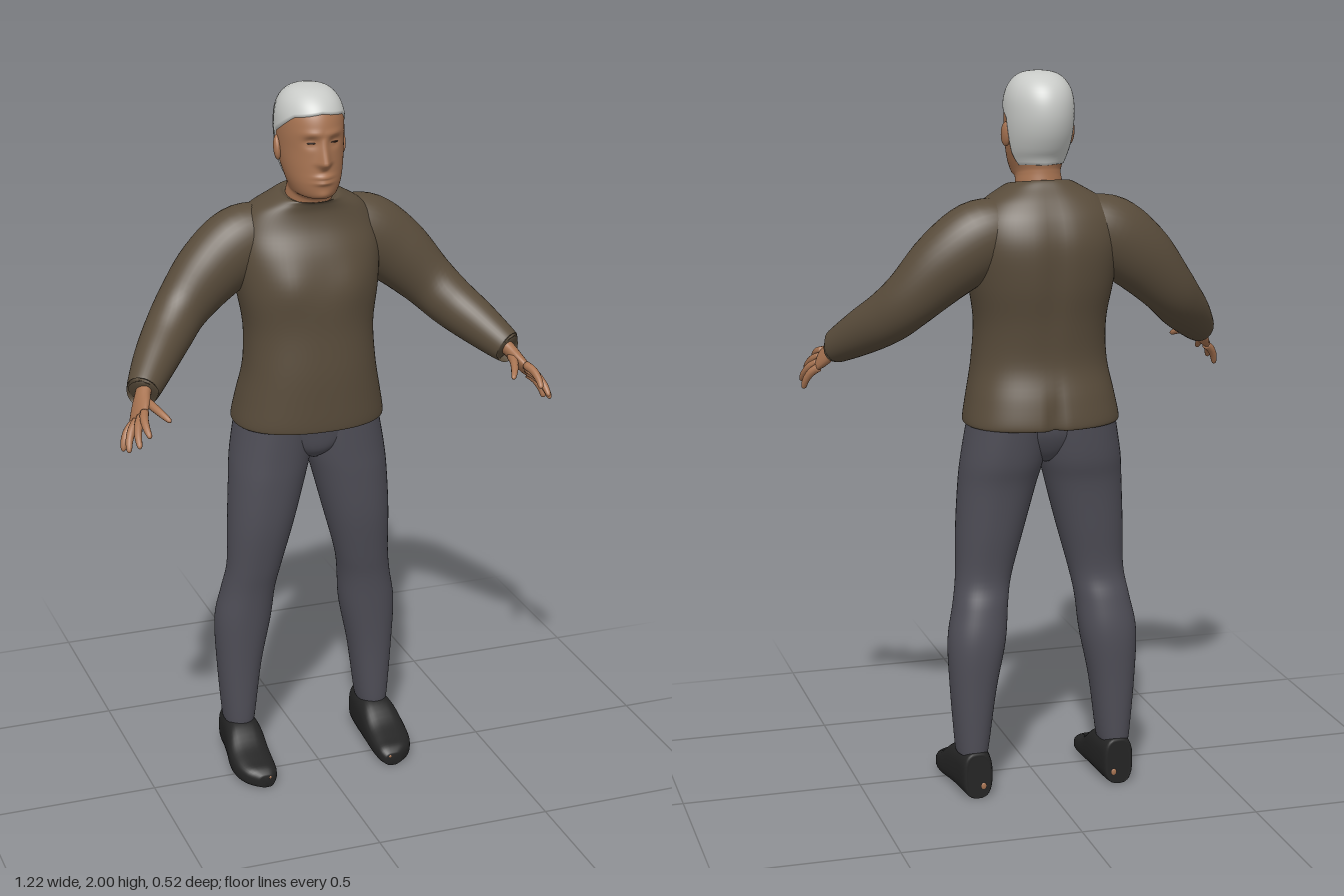
import * as THREE from 'three';

const mat = (name, color, side = THREE.FrontSide) => {
  const m = new THREE.MeshStandardMaterial({ color, side });
  m.name = name;
  return m;
};

// Skin a list of point rings (counter-clockwise about the direction of travel); side -1 mirrors in x.
function loft(rings, side = 1) {
  const n = rings[0].length, pos = [], idx = [];
  const rows = rings.map(r => side > 0 ? r : r.map(p => new THREE.Vector3(-p.x, p.y, p.z)).reverse());
  rows.forEach(r => r.forEach(p => pos.push(p.x, p.y, p.z)));
  for (let i = 0; i < rows.length - 1; i++) for (let j = 0; j < n; j++) {
    const k = (j + 1) % n, a = i * n + j, b = i * n + k, c = a + n, d = b + n;
    idx.push(a, b, d, a, d, c);
  }
  [0, rows.length - 1].forEach((row, end) => {
    const c = rows[row].reduce((s, p) => s.add(p), new THREE.Vector3()).divideScalar(n);
    const ci = pos.length / 3;
    pos.push(c.x, c.y, c.z);
    for (let j = 0; j < n; j++) {
      const a = row * n + j, b = row * n + (j + 1) % n;
      end ? idx.push(a, b, ci) : idx.push(b, a, ci);
    }
  });
  const g = new THREE.BufferGeometry();
  g.setAttribute('position', new THREE.Float32BufferAttribute(pos, 3));
  g.setIndex(idx);
  g.computeVertexNormals();
  return g;
}

// Catmull-Rom sample of a table of numbers at row position s.
function sample(table, s) {
  const last = table.length - 1, i = Math.min(Math.floor(s), last - 1), t = s - i;
  const row = k => table[Math.max(0, Math.min(last, k))];
  return table[0].map((_, c) => {
    const a = row(i - 1)[c], b = row(i)[c], d = row(i + 1)[c], e = row(i + 2)[c];
    return b + 0.5 * t * (d - a + t * (2 * a - 5 * b + 4 * d - e + t * (3 * (b - d) + e - a)));
  });
}
const signPow = (v, e) => Math.sign(v) * Math.abs(v) ** e;

// Point on an upright body; rows are [yFront, yBack, xCentre, halfWidth, zFront, zBack].
function bodyPoint(table, s, angle, power) {
  const [yf, yb, xc, hw, zf, zb] = sample(table, s);
  const k = (1 - signPow(Math.sin(angle), 2 / power)) / 2;
  return new THREE.Vector3(xc + hw * signPow(Math.cos(angle), 2 / power), yb + (yf - yb) * k, zb + (zf - zb) * k);
}
function body(table, { n = 48, steps = 5, power = 2, side = 1, deform = p => p } = {}) {
  const rings = [], total = (table.length - 1) * steps;
  for (let i = 0; i <= total; i++) rings.push(Array.from({ length: n }, (_, j) =>
    deform(bodyPoint(table, i / steps, j / n * Math.PI * 2, power))));
  return loft(rings, side);
}

// Limb along a path; rows are [x, y, z, radius along ref, radius across].
function limb(table, ref, side, n = 20, steps = 5) {
  const rings = [], total = (table.length - 1) * steps;
  const at = s => new THREE.Vector3(...sample(table, s).slice(0, 3));
  for (let i = 0; i <= total; i++) {
    const s = i / steps, [x, y, z, ru, rv] = sample(table, s);
    const t = at(Math.min(s + 0.1, table.length - 1)).sub(at(Math.max(s - 0.1, 0))).normalize();
    const u = ref.clone().addScaledVector(t, -ref.dot(t)).normalize();
    const v = t.clone().cross(u);
    rings.push(Array.from({ length: n }, (_, j) => {
      const a = j / n * Math.PI * 2;
      return new THREE.Vector3(x, y, z).addScaledVector(u, ru * Math.cos(a)).addScaledVector(v, rv * Math.sin(a));
    }));
  }
  return loft(rings, side);
}

const bell = (v, w) => Math.exp(-((v / w) ** 2));
const HEAD = [
  [1.65, 1.65, 0, 0.068, -0.015, -0.16], [1.69, 1.71, 0, 0.063, -0.01, -0.15],
  [1.705, 1.735, 0, 0.061, 0.005, -0.147], [1.712, 1.75, 0, 0.065, 0.036, -0.148],
  [1.745, 1.775, 0, 0.075, 0.047, -0.156], [1.79, 1.8, 0, 0.083, 0.046, -0.172],
  [1.84, 1.84, 0, 0.088, 0.044, -0.19], [1.885, 1.885, 0, 0.09, 0.046, -0.199],
  [1.93, 1.93, 0, 0.087, 0.036, -0.194], [1.965, 1.965, 0, 0.073, 0.012, -0.173],
  [1.988, 1.988, 0, 0.046, -0.025, -0.135], [1.996, 1.996, 0, 0.001, -0.079, -0.081]];

// Nose, eye sockets, brow, lips and chin pushed into the front of the head.
function face(p) {
  if (p.z < -0.01 || p.y < 1.7) return p;
  const x = Math.abs(p.x), y = p.y;
  const nose = y > 1.808 ? Math.max(0, 1 - (y - 1.808) / 0.07) : Math.max(0, 1 - (1.808 - y) / 0.02);
  p.z += 0.026 * nose * bell(x, 0.009 + 0.008 * nose)
    - 0.011 * bell(x - 0.033, 0.018) * bell(y - 1.865, 0.014)
    + 0.005 * bell(x - 0.033, 0.011) * bell(y - 1.862, 0.006)
    + 0.004 * bell(x - 0.03, 0.026) * bell(y - 1.888, 0.009)
    + 0.008 * bell(x, 0.024) * (bell(y - 1.771, 0.006) + bell(y - 1.756, 0.006))
    + 0.005 * bell(x, 0.02) * bell(y - 1.72, 0.012);
  return p;
}

// Hairline height (row of HEAD) by angle in degrees away from the front.
const HAIRLINE = [[0, 8.2], [50, 7.9], [80, 7.1], [97, 6.7], [108, 4.6], [120, 3.3], [181, 3]];
function hairGeometry(n = 96, steps = 28) {
  const rings = [];
  for (let i = 0; i <= steps; i++) rings.push(Array.from({ length: n }, (_, j) => {
    const a = j / n * Math.PI * 2;
    const deg = Math.acos(-Math.sin(a)) * 180 / Math.PI;
    const k = HAIRLINE.findIndex(h => h[0] > deg), [d0, s0] = HAIRLINE[k - 1], [d1, s1] = HAIRLINE[k];
    const start = s0 + (s1 - s0) * (deg - d0) / (d1 - d0);
    const p = bodyPoint(HEAD, start + (11 - start) * i / steps, a, 2);
    const c = new THREE.Vector3(0, 1.87, -0.08);
    const out = p.clone().sub(c).normalize();
    return p.addScaledVector(out, i ? 0.004 : -0.002);
  }));
  return loft(rings);
}

const SHIRT = [
  [1.055, 1.055, 0, 0.19, 0.035, -0.23], [1.05, 1.05, 0, 0.21, 0.056, -0.255], [1.065, 1.065, 0, 0.215, 0.062, -0.262],
  [1.13, 1.13, 0, 0.203, 0.064, -0.25], [1.22, 1.22, 0, 0.186, 0.064, -0.228], [1.33, 1.33, 0, 0.181, 0.058, -0.238],
  [1.44, 1.44, 0, 0.198, 0.055, -0.258], [1.54, 1.54, 0, 0.207, 0.03, -0.263], [1.61, 1.61, 0, 0.195, -0.002, -0.245],
  [1.655, 1.66, 0, 0.163, -0.013, -0.215], [1.68, 1.695, 0, 0.115, -0.01, -0.185], [1.69, 1.715, 0, 0.082, -0.004, -0.166],
  [1.685, 1.71, 0, 0.066, -0.014, -0.152]];

// Chest, spine groove and seat shaping of the shirt.
function shirtShape(p) {
  const x = Math.abs(p.x);
  if (p.z > -0.05) p.z += 0.008 * bell(x - 0.09, 0.05) * bell(p.y - 1.47, 0.06);
  if (p.z < -0.15) p.z += 0.008 * bell(x, 0.03) * bell(p.y - 1.48, 0.16) + 0.022 * bell(x, 0.014) * bell(p.y - 1.05, 0.08);
  return p;
}

const leg = rows => rows.map(([y, xin, xout, zf, zb]) => [y, y, (xin + xout) / 2, (xout - xin) / 2, zf, zb]);
const LEG = leg([
  [0.12, 0.165, 0.248, -0.065, -0.183], [0.14, 0.16, 0.252, -0.06, -0.187], [0.3, 0.138, 0.265, -0.055, -0.195],
  [0.44, 0.11, 0.27, -0.045, -0.2], [0.54, 0.1, 0.252, -0.035, -0.185], [0.62, 0.085, 0.24, -0.02, -0.167],
  [0.75, 0.05, 0.237, 0.002, -0.182], [0.88, 0.016, 0.23, 0.012, -0.2], [0.96, -0.003, 0.222, 0.015, -0.22],
  [1.08, -0.01, 0.2, 0.02, -0.235]]);
const PELVIS = [[0.945, 0.945, 0, 0.02, -0.03, -0.16], [0.975, 0.975, 0, 0.09, 0.0, -0.19],
  [1.03, 1.03, 0, 0.19, 0.012, -0.215], [1.09, 1.09, 0, 0.19, 0.02, -0.22]];

// Shoe cross-sections along z: [z, xCentre, halfWidth, height].
const SHOE = [[-0.192, 0.205, 0.03, 0.122], [-0.185, 0.205, 0.042, 0.132], [-0.12, 0.205, 0.05, 0.135],
  [-0.06, 0.208, 0.056, 0.125], [0, 0.212, 0.06, 0.085], [0.05, 0.21, 0.057, 0.065], [0.085, 0.203, 0.045, 0.053],
  [0.105, 0.194, 0.022, 0.036]];
function shoeGeometry(side, n = 32, steps = 4) {
  const rings = [];
  for (let i = 0; i <= (SHOE.length - 1) * steps; i++) {
    const [z, x, hw, h] = sample(SHOE, i / steps);
    rings.push(Array.from({ length: n }, (_, j) => {
      const a = j / n * Math.PI * 2;
      return new THREE.Vector3(x + hw * signPow(Math.cos(a), 0.7), h / 2 * (1 + signPow(Math.sin(a), 0.7)), z);
    }));
  }
  return loft(rings, side);
}

export function createModel() {
  const root = new THREE.Group();
  root.name = 'standingMan';
  const skin = mat('skin', 0xa87452), hair = mat('greyHair', 0xc9cbc8), wool = mat('brownSweater', 0x594c3b);
  const cloth = mat('greyTrousers', 0x4f4e57), leather = mat('blackShoes', 0x242424), dark = mat('darkEyes', 0x3a2820);
  const add = (name, geometry, material, parent = root) => {
    const m = new THREE.Mesh(geometry, material);
    m.name = name;
    parent.add(m);
    return m;
  };
  const blob = (name, material, at, size) => {
    const m = add(name, new THREE.SphereGeometry(1, 20, 14), material);
    m.position.set(...at);
    m.scale.set(...size);
    return m;
  };

  add('headAndNeck', body(HEAD, { n: 128, steps: 10, deform: face }), skin);
  add('hair', hairGeometry(), hair);
  add('sweaterBody', body(SHIRT, { n: 72, power: 2.3, deform: shirtShape }), wool);
  add('pelvis', body(PELVIS, { power: 2.3 }), cloth);

  const up = new THREE.Vector3(0, 1, 0), across = new THREE.Vector3(-0.025, 0.04, 0.045);
  for (const side of [1, -1]) {
    const tag = side > 0 ? 'left' : 'right';

    // Head details
    blob(tag + 'Ear', skin, [side * 0.09, 1.832, -0.078], [0.011, 0.034, 0.019]).rotation.set(-0.2, side * 0.3, 0);
    blob(tag + 'EyeSlit', dark, [side * 0.033, 1.863, 0.0325], [0.012, 0.0022, 0.003]).rotation.y = side * 0.35;

    // Sleeve with a turned-in cuff
    add(tag + 'Sleeve', limb([
      [0.1, 1.585, -0.13, 0.085, 0.08], [0.18, 1.56, -0.13, 0.105, 0.09], [0.27, 1.495, -0.122, 0.098, 0.085],
      [0.355, 1.41, -0.1, 0.08, 0.073], [0.41, 1.352, -0.058, 0.073, 0.068], [0.465, 1.303, 0.005, 0.064, 0.06],
      [0.518, 1.255, 0.075, 0.049, 0.047], [0.526, 1.248, 0.086, 0.043, 0.041], [0.524, 1.25, 0.083, 0.028, 0.028]],
    up, side, 36), wool);

    // Hand
    const hand = new THREE.Group();
    hand.name = tag + 'Hand';
    root.add(hand);
    add('palm', limb([[0.51, 1.262, 0.065, 0.026, 0.021], [0.528, 1.243, 0.095, 0.027, 0.019],
      [0.542, 1.221, 0.122, 0.036, 0.018], [0.556, 1.202, 0.15, 0.038, 0.014],
      [0.562, 1.194, 0.163, 0.03, 0.007]], across, side), skin, hand);
    const fingers = {
      indexFinger: [[0.546, 1.22, 0.172], [0.555, 1.18, 0.258]],
      middleFinger: [[0.554, 1.206, 0.165], [0.582, 1.152, 0.252]],
      ringFinger: [[0.563, 1.192, 0.153], [0.602, 1.13, 0.216]],
      littleFinger: [[0.568, 1.18, 0.138], [0.605, 1.117, 0.168]],
      thumb: [[0.525, 1.23, 0.115], [0.488, 1.203, 0.22]]
    };
    for (const [name, [a, b]] of Object.entries(fingers)) {
      const rows = [[0, 0.012], [0.35, 0.0115], [0.7, 0.0098], [0.94, 0.007], [1, 0.002]].map(([t, r]) => {
        const bend = 0.007 * Math.sin(Math.PI * t);
        return [a[0] + (b[0] - a[0]) * t + bend, a[1] + (b[1] - a[1]) * t + bend, a[2] + (b[2] - a[2]) * t, r, r];
      });
      add(name, limb(rows, across, side, 12, 3), skin, hand);
    }

    // Trouser leg and shoe, with small worn holes at toe and heel
    add(tag + 'TrouserLeg', body(LEG, { power: 2.2, side }), cloth);
    add(tag + 'Shoe', shoeGeometry(side), leather);
    blob(tag + 'ToeHole', skin, [side * 0.178, 0.03, 0.099], [0.012, 0.007, 0.004]).rotation.y = -side * 0.6;
    blob(tag + 'HeelHole', skin, [side * 0.19, 0.035, -0.191], [0.008, 0.01, 0.003]);
  }
  return root;
}
